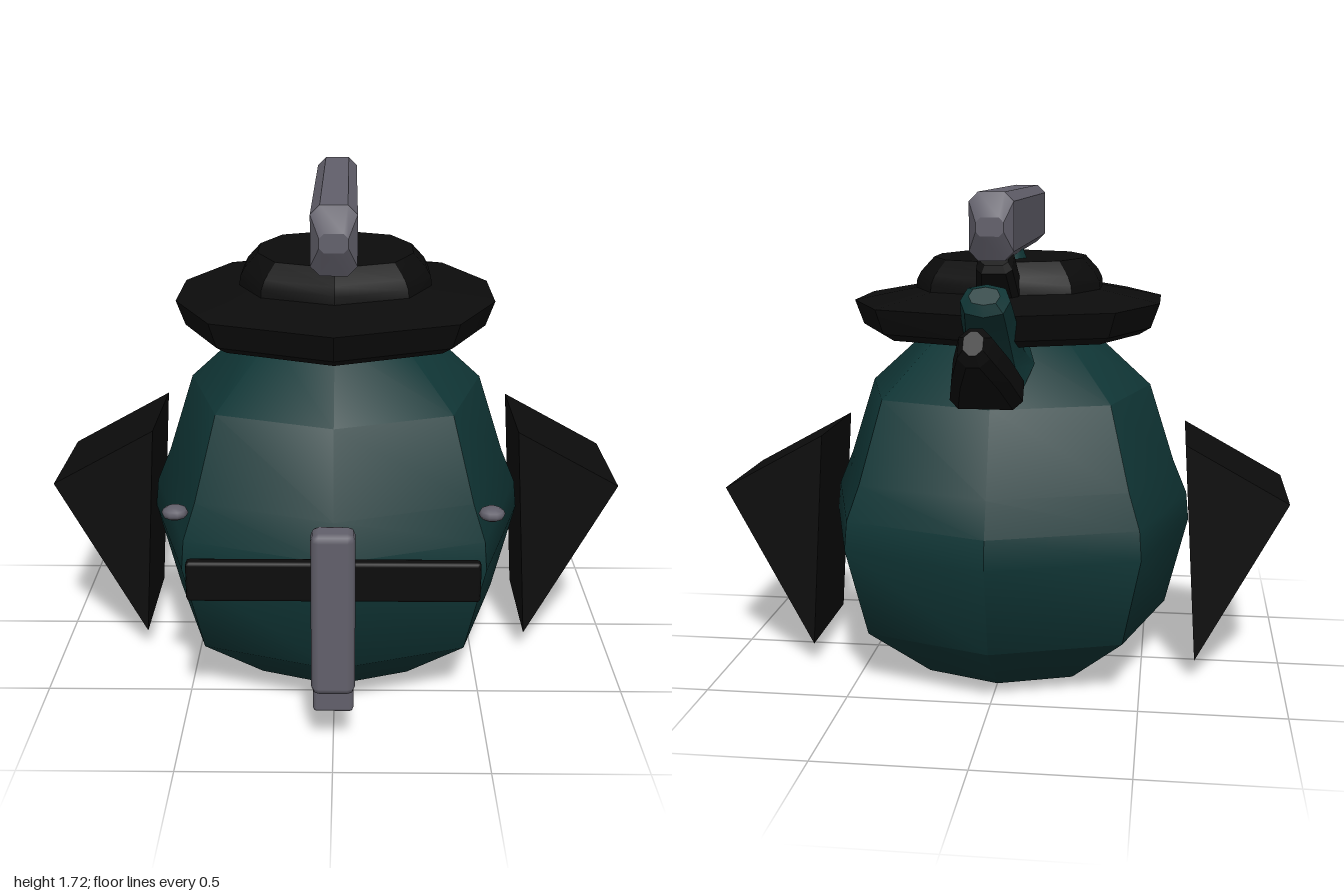
import * as THREE from 'three';
import { toCreasedNormals } from 'three/addons/utils/BufferGeometryUtils.js';
import { RoundedBoxGeometry } from 'three/addons/geometries/RoundedBoxGeometry.js';

const teal = new THREE.MeshStandardMaterial({ color: 0x103636 });
teal.name = 'darkTeal';
const black = new THREE.MeshStandardMaterial({ color: 0x0c0c0c });
black.name = 'black';
const grey = new THREE.MeshStandardMaterial({ color: 0x62606b });
grey.name = 'grey';

// Closed solid through a stack of rings of [x, y, z], listed upwards along y
function loft(rings, crease = 0.6) {
  const n = rings[0].length, last = (rings.length - 1) * n, index = [];
  for (let i = 0; i < rings.length - 1; i++) {
    for (let j = 0; j < n; j++) {
      const a = i * n + j, b = i * n + (j + 1) % n;
      index.push(a, b, a + n, b, b + n, a + n);
    }
  }
  for (let j = 1; j < n - 1; j++) index.push(0, j + 1, j, last, last + j, last + j + 1);
  const g = new THREE.BufferGeometry();
  g.setAttribute('position', new THREE.Float32BufferAttribute(rings.flat(2), 3));
  g.setIndex(index);
  return toCreasedNormals(g, crease);
}

// Plan outlines in unit size, running from the front round by +x
const OCTAGON = [[0, 1], [0.76, 0.76], [1, 0], [0.76, -0.76], [0, -1], [-0.76, -0.76], [-1, 0], [-0.76, 0.76]];
const DECAGON = [[0, 1], [0.74, 0.74], [1, 0.25], [1, -0.25], [0.74, -0.74],
  [0, -1], [-0.74, -0.74], [-1, -0.25], [-1, 0.25], [-0.74, 0.74]];

// Profile rows are [y, x radius, z radius]
const turned = (outline, profile, crease) =>
  loft(profile.map(([y, rx, rz]) => outline.map(([x, z]) => [x * rx, y, z * rz])), crease);

// Bar with chamfered section; rows are [y, half width, half depth, chamfer]
const bar = (rows) => loft(rows.map(([y, w, d, c]) => [
  [w - c, d], [w, d - c], [w, c - d], [w - c, -d], [c - w, -d], [-w, c - d], [-w, d - c], [c - w, d],
].map(([x, z]) => [x, y, z])), 0.5);

export function createModel() {
  const model = new THREE.Group();
  const add = (name, geometry, material, x, y, z, tilt = 0) => {
    const mesh = new THREE.Mesh(geometry, material);
    mesh.name = name;
    mesh.position.set(x, y, z);
    mesh.rotation.x = tilt;
    model.add(mesh);
    return mesh;
  };

  // Pot body
  add('body', turned(OCTAGON, [
    [0, 0.34, 0.39], [0.2, 0.58, 0.635], [0.52, 0.66, 0.725], [0.62, 0.65, 0.715],
    [0.74, 0.6, 0.67], [1.02, 0.51, 0.575], [1.23, 0.28, 0.33],
  ], 0.65), teal, 0, 0, 0.073);

  // Lid: wide brim, raised crown and knob
  add('lidBrim', turned(DECAGON, [
    [1.22, 0.47, 0.55], [1.245, 0.51, 0.59], [1.33, 0.54, 0.62], [1.375, 0.31, 0.38],
  ], 0.5), black, 0, 0, 0.07);
  add('lidCrown', turned(DECAGON, [
    [1.35, 0.33, 0.39], [1.4, 0.325, 0.385], [1.43, 0.31, 0.37], [1.48, 0.265, 0.32],
  ], 0.5), black, 0, 0, 0.07);
  add('lidKnob', toCreasedNormals(new THREE.CylinderGeometry(0.04, 0.09, 0.13, 8), 0.8), teal, 0, 1.49, -0.03);

  // Top handle
  add('handle', bar([
    [-0.565, 0.045, 0.03, 0.015], [-0.52, 0.073, 0.11, 0.03],
    [0.52, 0.073, 0.11, 0.03], [0.565, 0.045, 0.03, 0.015],
  ]), grey, 0, 1.61, 0.075, Math.PI / 2);

  // Rear spout with its upper clip and lower lip
  add('spout', turned(OCTAGON, [
    [-0.2, 0.13, 0.13], [-0.12, 0.1, 0.09], [0.1, 0.085, 0.07], [0.15, 0.08, 0.065], [0.175, 0.05, 0.035],
  ]), teal, 0, 1.285, -0.48, -0.83);
  add('spoutLip', bar([
    [-0.19, 0.09, 0.04, 0.02], [-0.16, 0.118, 0.065, 0.03], [0.0, 0.09, 0.065, 0.03],
    [0.16, 0.05, 0.065, 0.03], [0.19, 0.03, 0.04, 0.02],
  ]), black, 0, 1.183, -0.692, -0.99);
  add('spoutClip', bar([
    [-0.1, 0.08, 0.055, 0.02], [0.09, 0.06, 0.055, 0.02], [0.11, 0.045, 0.035, 0.015],
  ]), black, 0, 1.42, -0.295, -0.7);

  // Triangular side fins and small front studs
  const finGeometry = (s) => {
    const shape = new THREE.Shape();
    shape.moveTo(s * 0.64, 0.86);
    shape.lineTo(s * 0.69, 0.08);
    shape.lineTo(s, 0.66);
    return new THREE.ExtrudeGeometry(shape, { depth: 0.44, bevelEnabled: false });
  };
  for (const [side, s] of [['left', 1], ['right', -1]]) {
    add(side + 'Fin', finGeometry(s), black, 0, 0, -0.22);
    const stud = add(side + 'Stud', new THREE.SphereGeometry(0.042, 10, 6), grey, s * 0.495, 0.785, 0.765);
    stud.scale.y = 0.55;
  }

  // Front crossbar, upright and its foot
  add('frontCrossbar', new RoundedBoxGeometry(0.93, 0.135, 0.045, 1, 0.012), black, 0, 0.567, 0.795);
  add('frontUpright', new RoundedBoxGeometry(0.14, 0.555, 0.1, 1, 0.025), grey, 0, 0.475, 0.828);
  add('uprightFoot', new RoundedBoxGeometry(0.13, 0.14, 0.06, 1, 0.012), grey, 0, 0.195, 0.82);

  return model;
}
